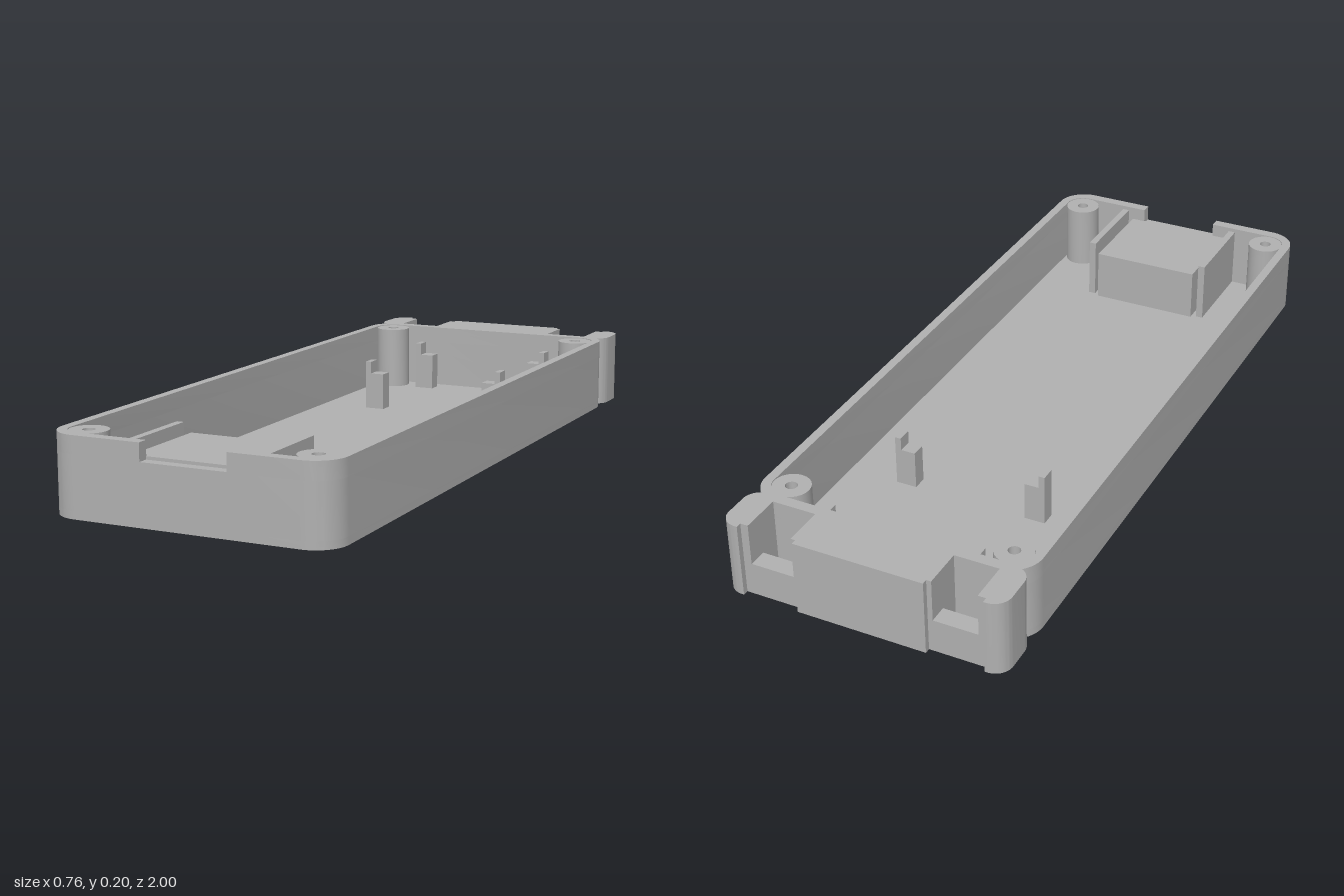
import * as THREE from 'three';
import { toCreasedNormals } from 'three/addons/utils/BufferGeometryUtils.js';

const H = 0.203, FLOOR = 0.02, NOTCH = 0.157;
const plastic = new THREE.MeshStandardMaterial({ color: 0xb0b0b0 });
plastic.name = 'grey plastic';

// Points of an arc in plan, where plan y is -z
function arc(cx, cy, r, from, to, n = 12) {
  return Array.from({ length: n + 1 }, (_, i) => {
    const a = THREE.MathUtils.degToRad(from + ((to - from) * i) / n);
    return new THREE.Vector2(cx + r * Math.cos(a), cy + r * Math.sin(a));
  });
}

// Rounded rectangle, anticlockwise from the front right corner
function roundedRect(hw, y0, y1, r) {
  return [
    ...arc(hw - r, y0 + r, r, -90, 0), ...arc(hw - r, y1 - r, r, 0, 90),
    ...arc(-hw + r, y1 - r, r, 90, 180), ...arc(-hw + r, y0 + r, r, 180, 270),
  ];
}

export function createModel() {
  const group = new THREE.Group();
  group.name = 'enclosureTray';
  const v = (x, y) => new THREE.Vector2(x, y);

  function add(name, geometry) {
    const mesh = new THREE.Mesh(geometry, plastic);
    mesh.name = name;
    group.add(mesh);
    return mesh;
  }
  function slab(name, points, y0, y1, holes = []) {
    const shape = new THREE.Shape(points);
    shape.holes = holes.map((h) => new THREE.Path(h));
    const geo = new THREE.ExtrudeGeometry(shape, { depth: y1 - y0, bevelEnabled: false });
    geo.rotateX(-Math.PI / 2).translate(0, y0, 0);
    return add(name, toCreasedNormals(geo, 0.5));
  }
  function box(name, x0, x1, y0, y1, z0, z1) {
    const geo = new THREE.BoxGeometry(x1 - x0, y1 - y0, z1 - z0);
    return add(name, geo.translate((x0 + x1) / 2, (y0 + y1) / 2, (z0 + z1) / 2));
  }

  const outer = roundedRect(0.38, -1, 0.875, 0.08);
  const inner = roundedRect(0.355, -0.97, 0.845, 0.05);
  const screws = [[0.305, 0.92], [-0.305, 0.92], [0.305, -0.795], [-0.305, -0.795]];

  // Floor and walls; the upper wall is open at the front notch
  slab('floor', outer, 0, FLOOR, screws.map(([x, z]) => arc(x, -z, 0.035, 0, 360, 24)));
  slab('lowerWall', outer, FLOOR, NOTCH, [inner]);
  slab('upperWall', [
    v(0.115, -1), ...outer, v(-0.115, -1), v(-0.115, -0.97),
    ...[...inner].reverse(), v(0.115, -0.97),
  ], NOTCH, H);

  // Screw bosses, counterbored from below
  const profile = [[0.05, FLOOR], [0.05, 0.201], [0.016, 0.201], [0.016, 0.06], [0.035, 0.06], [0.035, 0]];
  for (const [x, z] of screws) {
    const geo = new THREE.LatheGeometry(profile.map(([r, y]) => v(r, y)), 24);
    add('screwBoss', toCreasedNormals(geo, 0.5)).position.set(x, 0, z);
  }

  // Raised block behind the front notch
  box('frontBlock', -0.154, 0.154, FLOOR, 0.165, 0.705, 0.972);

  // Solid block at the back, with a narrow proud face
  box('rearBlock', -0.188, 0.188, 0, H, -0.985, -0.86);
  box('rearBlockFace', -0.175, 0.175, 0, H, -1, -0.985);

  for (const s of [-1, 1]) {
    const mirrorBox = (name, a, b, ...rest) => box(name, Math.min(s * a, s * b), Math.max(s * a, s * b), ...rest);

    // Guide rail beside the front block
    mirrorBox('guideRail', 0.168, 0.188, FLOOR, 0.192, 0.715, 0.972);

    // Stepped posts for the circuit board
    for (const z of [-0.79, -0.425]) {
      mirrorBox('boardPost', 0.158, 0.215, FLOOR, 0.125, z - 0.02, z + 0.02);
      mirrorBox('boardPostTip', 0.198, 0.215, 0.125, 0.16, z - 0.02, z + 0.02);
    }

    // Rounded lug at the back corner, and the strap bar joining it to the block
    const lug = [
      v(0.307, 0.85), ...arc(0.335, 0.895, 0.045, -90, 0), ...arc(0.335, 0.955, 0.045, 0, 90),
      v(0.328, 1), v(0.328, 0.985), v(0.307, 0.985),
    ];
    slab('strapLug', lug.map((p) => v(s * p.x, p.y)), 0, H);
    mirrorBox('strapBar', 0.18, 0.315, 0, 0.09, -0.985, -0.935);
  }
  return group;
}
